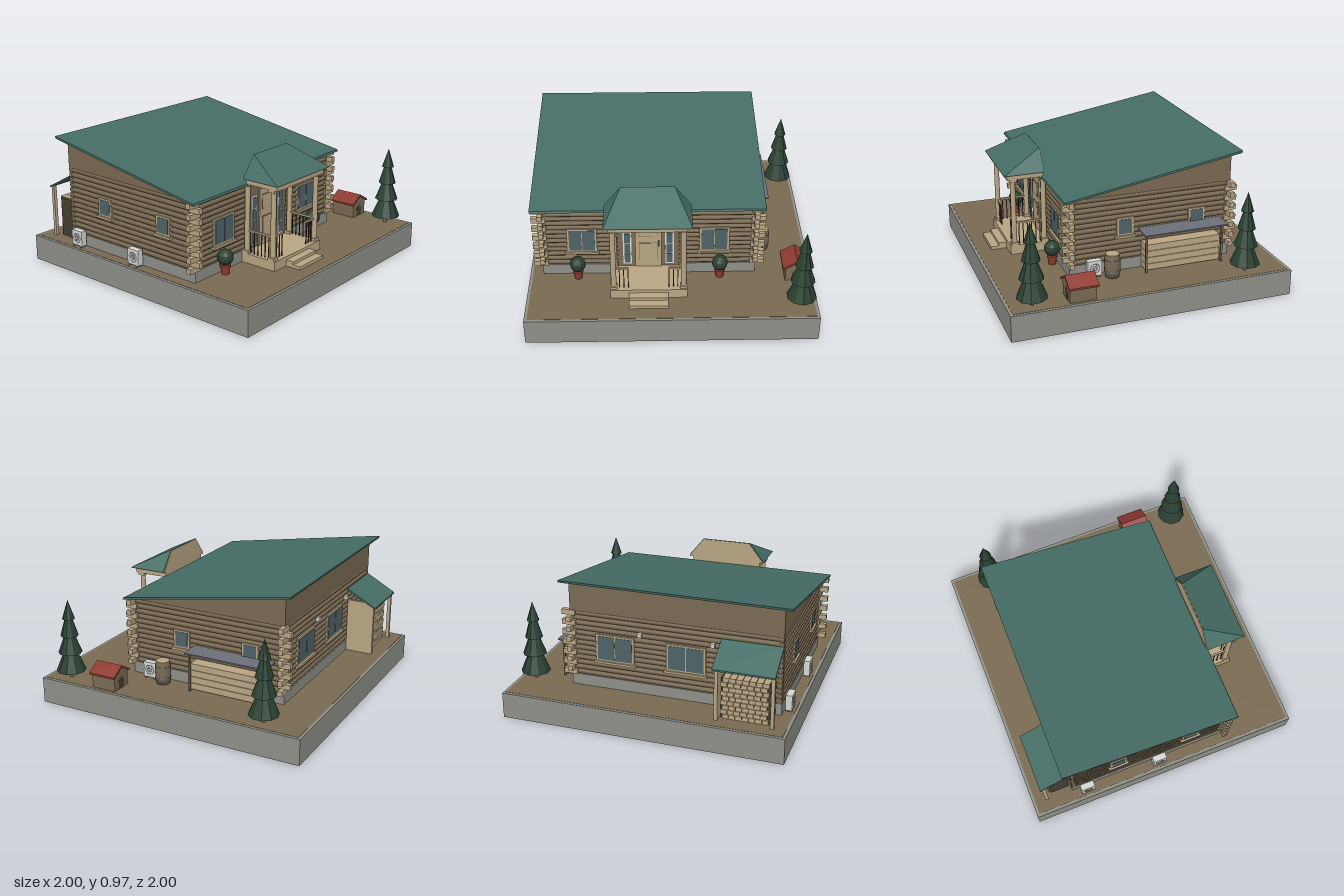
import * as THREE from 'three';
import { ConvexGeometry } from 'three/addons/geometries/ConvexGeometry.js';

const material = (name, color, flatShading = false) => {
  const m = new THREE.MeshStandardMaterial({ color, flatShading });
  m.name = name;
  return m;
};
const brown = material('log brown', 0x7a6a52);
const tan = material('pale timber', 0xb9a684);
const concrete = material('concrete', 0x8e9088);
const teal = material('teal roofing', 0x456d65);
const green = material('foliage', 0x2a4032, true);
const red = material('red', 0x8f3b32);
const glass = material('glass', 0x4f6368);
const white = material('white', 0xd6d8d6);
const steel = material('grey metal', 0x6d6f79);
const dark = material('dark trim', 0x463e33);

const GROUND = 0.187, LX = -0.905, RX = 0.6, BZ = -0.7, FZ = 0.485;

function add(parent, name, geo, mat, x = 0, y = 0, z = 0) {
  const m = new THREE.Mesh(geo, mat);
  m.name = name;
  m.position.set(x, y, z);
  parent.add(m);
  return m;
}
// Box given by its limits on each axis
function box(parent, name, mat, x0, x1, y0, y1, z0, z1) {
  return add(parent, name, new THREE.BoxGeometry(x1 - x0, y1 - y0, z1 - z0), mat,
    (x0 + x1) / 2, (y0 + y1) / 2, (z0 + z1) / 2);
}
function group(parent, name, x = 0, y = 0, z = 0, turn = 0) {
  const g = new THREE.Group();
  g.name = name;
  g.position.set(x, y, z);
  g.rotation.y = turn;
  parent.add(g);
  return g;
}
function extrude(points, depth) {
  const shape = new THREE.Shape(points.map(p => new THREE.Vector2(...p)));
  return new THREE.ExtrudeGeometry(shape, { depth, bevelEnabled: false });
}
// Side profile of [z, y] points drawn out from x0 to x1
const extrudeX = (points, x0, x1) => extrude(points, x1 - x0).rotateY(-Math.PI / 2).translate(x1, 0, 0);

// Window facing local +z, centred on its group
function addWindow(parent, x, y, z, turn, w, h, panes) {
  const g = group(parent, 'window', x, y, z, turn);
  box(g, 'windowFrame', tan, -w / 2, w / 2, -h / 2, h / 2, -0.02, 0.008);
  box(g, 'windowSill', tan, -w / 2 - 0.012, w / 2 + 0.012, -h / 2 - 0.016, -h / 2, -0.02, 0.022);
  const pw = (w - 0.024) / panes;
  for (let i = 0; i < panes; i++) {
    const x0 = -w / 2 + 0.012 + i * pw;
    box(g, 'windowPane', glass, x0 + 0.003, x0 + pw - 0.003, -h / 2 + 0.012, h / 2 - 0.012, 0.006, 0.011);
  }
}

function addHouse(root) {
  const g = group(root, 'house');
  box(g, 'foundation', concrete, LX, RX, GROUND - 0.01, 0.268, BZ, FZ);
  box(g, 'wallCore', dark, LX + 0.012, RX - 0.012, 0.26, 0.75, BZ + 0.012, FZ - 0.012);
  add(g, 'upperWall', extrudeX([[FZ, 0.743], [FZ, 0.752], [BZ, 0.953], [BZ, 0.743]], LX, RX), brown);
  add(g, 'mainRoof', extrudeX([[0.53, 0.742], [0.525, 0.757], [-0.76, 0.973], [-0.755, 0.956]], -0.965, 0.652), teal);

  // Log courses on all four walls
  const rows = 13, step = 0.48 / rows;
  const logX = new THREE.CylinderGeometry(0.0195, 0.0195, RX - LX, 8).rotateX(0).rotateY(Math.PI / 8).rotateZ(Math.PI / 2);
  const logZ = new THREE.CylinderGeometry(0.0195, 0.0195, FZ - BZ, 8).rotateY(Math.PI / 8).rotateX(Math.PI / 2);
  for (let i = 0; i < rows; i++) {
    const y = 0.267 + (i + 0.5) * step;
    for (const z of [BZ + 0.018, FZ - 0.018]) add(g, 'wallLog', logX, brown, (LX + RX) / 2, y, z);
    for (const x of [LX + 0.018, RX - 0.018]) add(g, 'wallLog', logZ, brown, x, y, (FZ + BZ) / 2);
    // Crossed log ends at three corners
    for (const [x, z, sx, sz] of [[LX, FZ, -1, 1], [RX, FZ, 1, 1], [RX, BZ, 1, -1]]) {
      const along = i % 2 === 0;
      const geo = along ? new THREE.BoxGeometry(0.1, step, 0.034) : new THREE.BoxGeometry(0.034, step, 0.09);
      add(g, 'cornerLogEnd', geo, tan, x + sx * (along ? 0.008 : -0.006), y, z + sz * (along ? -0.006 : 0.003));
    }
  }

  // Windows and wall lamps
  for (const x of [-0.62, 0.305]) addWindow(g, x, 0.482, FZ, 0, 0.21, 0.193, 2);
  for (const x of [0.27, -0.24]) addWindow(g, x, 0.495, BZ, Math.PI, 0.28, 0.195, 2);
  for (const z of [0.083, -0.447]) addWindow(g, RX, 0.512, z, Math.PI / 2, 0.125, 0.13, 1);
  for (const z of [0.21, -0.34]) addWindow(g, LX, 0.522, z, -Math.PI / 2, 0.125, 0.13, 1);
  for (const x of [0.085, -0.43]) box(g, 'wallLamp', white, x - 0.014, x + 0.014, 0.615, 0.645, BZ - 0.025, BZ);
  box(g, 'wallLamp', white, 0.005, 0.025, 0.6, 0.635, FZ, FZ + 0.04);
}

function addPorch(root) {
  const g = group(root, 'porch', -0.157, 0, 0);
  box(g, 'porchFloor', tan, -0.265, 0.265, GROUND, 0.255, 0.48, 0.765);
  box(g, 'lowerStep', tan, -0.135, 0.135, GROUND, 0.21, 0.76, 0.88);
  box(g, 'upperStep', tan, -0.135, 0.135, GROUND, 0.232, 0.76, 0.822);

  // Door and sidelights
  box(g, 'doorSurround', brown, -0.215, 0.215, 0.255, 0.71, 0.47, 0.491);
  box(g, 'doorFrame', tan, -0.092, 0.092, 0.255, 0.668, 0.47, 0.5);
  for (const [y0, y1] of [[0.515, 0.625], [0.315, 0.465]]) {
    box(g, 'panelMoulding', brown, -0.066, 0.066, y0, y1, 0.498, 0.502);
    box(g, 'doorPanel', tan, -0.062, 0.062, y0 + 0.004, y1 - 0.004, 0.499, 0.505);
  }
  box(g, 'doorHandle', steel, 0.068, 0.078, 0.44, 0.48, 0.5, 0.515);
  for (const s of [-1, 1]) {
    const x = s * 0.148;
    box(g, 'sidelightFrame', white, x - 0.03, x + 0.03, 0.28, 0.637, 0.48, 0.498);
    for (let i = 0; i < 4; i++) {
      const y = 0.29 + i * 0.085;
      box(g, 'sidelightPane', glass, x - 0.02, x + 0.02, y, y + 0.078, 0.496, 0.501);
    }
    // Columns, half columns at the wall, and railings
    for (const z of [0.73, 0.51]) {
      add(g, 'column', new THREE.CylinderGeometry(0.018, 0.019, 0.5, 16), tan, s * 0.24, 0.505, z);
      box(g, 'columnBase', tan, s * 0.24 - 0.025, s * 0.24 + 0.025, 0.255, 0.275, z - 0.025, z + 0.025);
      box(g, 'columnCap', tan, s * 0.24 - 0.025, s * 0.24 + 0.025, 0.735, 0.752, z - 0.025, z + 0.025);
    }
    add(g, 'frontRail', new THREE.BoxGeometry(0.1, 0.012, 0.014), tan, s * 0.185, 0.42, 0.73);
    add(g, 'sideRail', new THREE.BoxGeometry(0.014, 0.012, 0.22), tan, s * 0.24, 0.42, 0.62);
    for (let i = 0; i < 3; i++)
      add(g, 'baluster', new THREE.BoxGeometry(0.006, 0.165, 0.006), dark, s * (0.14 + i * 0.03), 0.335, 0.73);
    for (let i = 0; i < 6; i++)
      add(g, 'baluster', new THREE.BoxGeometry(0.006, 0.165, 0.006), dark, s * 0.24, 0.335, 0.54 + i * 0.031);
  }

  // Beam and hipped roof with a timber back
  box(g, 'porchBeam', tan, -0.265, 0.265, 0.752, 0.796, 0.515, 0.775);
  const corners = [[-0.297, 0.796, 0.8], [0.297, 0.796, 0.8], [-0.297, 0.796, 0.515], [0.297, 0.796, 0.515],
    [-0.183, 0.94, 0.515], [0.183, 0.94, 0.515]].map(p => new THREE.Vector3(...p));
  add(g, 'porchRoof', new ConvexGeometry(corners), teal);
  add(g, 'porchGable', extrude([[-0.29, 0.796], [0.29, 0.796], [0.18, 0.936], [-0.18, 0.936]], 0.006), tan, 0, 0, 0.51);
  box(g, 'porchSoffit', tan, -0.292, 0.292, 0.791, 0.796, 0.512, 0.797);
}

function addWoodShelter(root) {
  const g = group(root, 'backWoodShelter');
  add(g, 'shelterRoof', extrudeX([[-0.92, 0.548], [-0.92, 0.56], [-0.7, 0.68], [-0.7, 0.666]], -0.905, -0.485), teal);
  add(g, 'shelterSide', extrudeX([[-0.89, GROUND], [-0.89, 0.565], [-0.84, 0.587], [-0.7, 0.587], [-0.7, GROUND]], -0.52, -0.5), tan);
  for (const x of [-0.89, -0.51]) box(g, 'shelterPost', tan, x - 0.012, x + 0.012, GROUND, 0.562, -0.905, -0.88);
  box(g, 'woodPileCore', dark, -0.865, -0.53, GROUND, 0.475, -0.85, -0.71);
  for (let r = 0; r < 9; r++)
    for (let c = 0; c < 7; c++) {
      const x = -0.835 + c * 0.045 + (r % 2) * 0.012, y = GROUND + 0.017 + r * 0.033;
      box(g, 'firewood', tan, x - 0.021, x + 0.021, y - 0.015, y + 0.015, -0.865, -0.72);
    }
}

function addSideRack(root) {
  const g = group(root, 'sideRack');
  add(g, 'rackRoof', new THREE.BoxGeometry(0.145, 0.01, 0.615), steel, 0.665, 0.475, -0.322).rotation.z = -0.04;
  for (const z of [-0.035, -0.6]) box(g, 'rackPost', brown, 0.698, 0.712, GROUND, 0.472, z - 0.007, z + 0.007);
  box(g, 'rackBack', dark, 0.61, 0.675, 0.2, 0.385, -0.58, -0.04);
  for (let i = 0; i < 4; i++)
    box(g, 'stackedPlank', tan, 0.605, 0.695, 0.2 + i * 0.048, 0.245 + i * 0.048, -0.59, -0.035);
}

// Outdoor cooling unit, its fan facing local +z
function addCooler(root, x, z, turn) {
  const g = group(root, 'coolingUnit', x, 0.253, z, turn);
  add(g, 'unitCase', new THREE.BoxGeometry(0.1, 0.11, 0.045), white, 0, 0, 0.033);
  for (const s of [-1, 1]) add(g, 'unitFoot', new THREE.BoxGeometry(0.012, 0.014, 0.045), steel, s * 0.035, -0.06, 0.033);
  add(g, 'fanGrille', new THREE.CircleGeometry(0.038, 20), steel, 0, 0, 0.0565);
  add(g, 'fanRing', new THREE.RingGeometry(0.022, 0.029, 20), white, 0, 0, 0.058);
  for (let i = 0; i < 3; i++)
    add(g, 'fanBar', new THREE.BoxGeometry(0.074, 0.004, 0.002), white, 0, 0, 0.058).rotation.z = i * Math.PI / 3;
}

function addBarrel(root) {
  const g = group(root, 'barrel', 0.67, GROUND, 0.2);
  const profile = [[0, 0], [0.048, 0], [0.055, 0.05], [0.056, 0.085], [0.055, 0.12], [0.048, 0.168]];
  add(g, 'barrelBody', new THREE.LatheGeometry(profile.map(p => new THREE.Vector2(...p)), 20), brown);
  add(g, 'barrelLid', new THREE.CylinderGeometry(0.048, 0.048, 0.004, 20), tan, 0, 0.167, 0);
  for (const y of [0.045, 0.125])
    add(g, 'barrelHoop', new THREE.CylinderGeometry(0.0565, 0.0565, 0.01, 20), steel, 0, y, 0);
}

function addKennel(root) {
  const g = group(root, 'kennel', 0.882, GROUND, 0.502);
  const body = [[-0.078, 0], [0.078, 0], [0.078, 0.11], [0, 0.155], [-0.078, 0.11]];
  add(g, 'kennelBody', extrude(body, 0.185), brown, 0, 0, -0.0925);
  for (const z of [-0.0935, 0.0925])
    add(g, 'kennelDoor', extrude([[-0.03, 0], [0.03, 0], [0.03, 0.065], [0, 0.09], [-0.03, 0.065]], 0.001), dark, 0, 0, z);
  const roof = [[-0.098, 0.098], [0, 0.154], [0.098, 0.098], [0.098, 0.112], [0, 0.17], [-0.098, 0.112]];
  add(g, 'kennelRoof', extrude(roof, 0.206), red, 0, 0, -0.103);
}

function addTree(root, z) {
  const g = group(root, 'firTree', 0.888, GROUND, z);
  add(g, 'trunk', new THREE.CylinderGeometry(0.012, 0.014, 0.08, 8), brown, 0, 0.04, 0);
  // Each tier: bottom height, top height, bottom radius, top radius
  for (const [y0, y1, r0, r1] of [[0.055, 0.2, 0.105, 0.045], [0.19, 0.325, 0.084, 0.034],
    [0.315, 0.45, 0.063, 0.024], [0.44, 0.578, 0.044, 0]])
    add(g, 'foliageTier', new THREE.CylinderGeometry(r1, r0, y1 - y0, 10), green, 0, (y0 + y1) / 2, 0);
}

function addPlant(root, x) {
  const g = group(root, 'pottedShrub', x, GROUND, 0.53);
  add(g, 'pot', new THREE.CylinderGeometry(0.034, 0.027, 0.055, 12), red, 0, 0.0275, 0);
  add(g, 'potRim', new THREE.CylinderGeometry(0.038, 0.038, 0.012, 12), red, 0, 0.058, 0);
  add(g, 'shrub', new THREE.SphereGeometry(0.056, 12, 8), green, 0, 0.118, 0);
}

export function createModel() {
  const root = new THREE.Group();
  root.name = 'logCabin';
  box(root, 'plinth', concrete, -1, 1, 0, 0.185, -1, 1);
  box(root, 'ground', brown, -0.98, 0.98, 0.18, GROUND, -0.98, 0.98);
  addHouse(root);
  addPorch(root);
  addWoodShelter(root);
  addSideRack(root);
  addCooler(root, RX, 0.32, Math.PI / 2);
  for (const z of [-0.59, -0.03]) addCooler(root, LX, z, -Math.PI / 2);
  addBarrel(root);
  addKennel(root);
  for (const z of [-0.693, 0.828]) addTree(root, z);
  for (const x of [-0.655, 0.345]) addPlant(root, x);
  return root;
}
